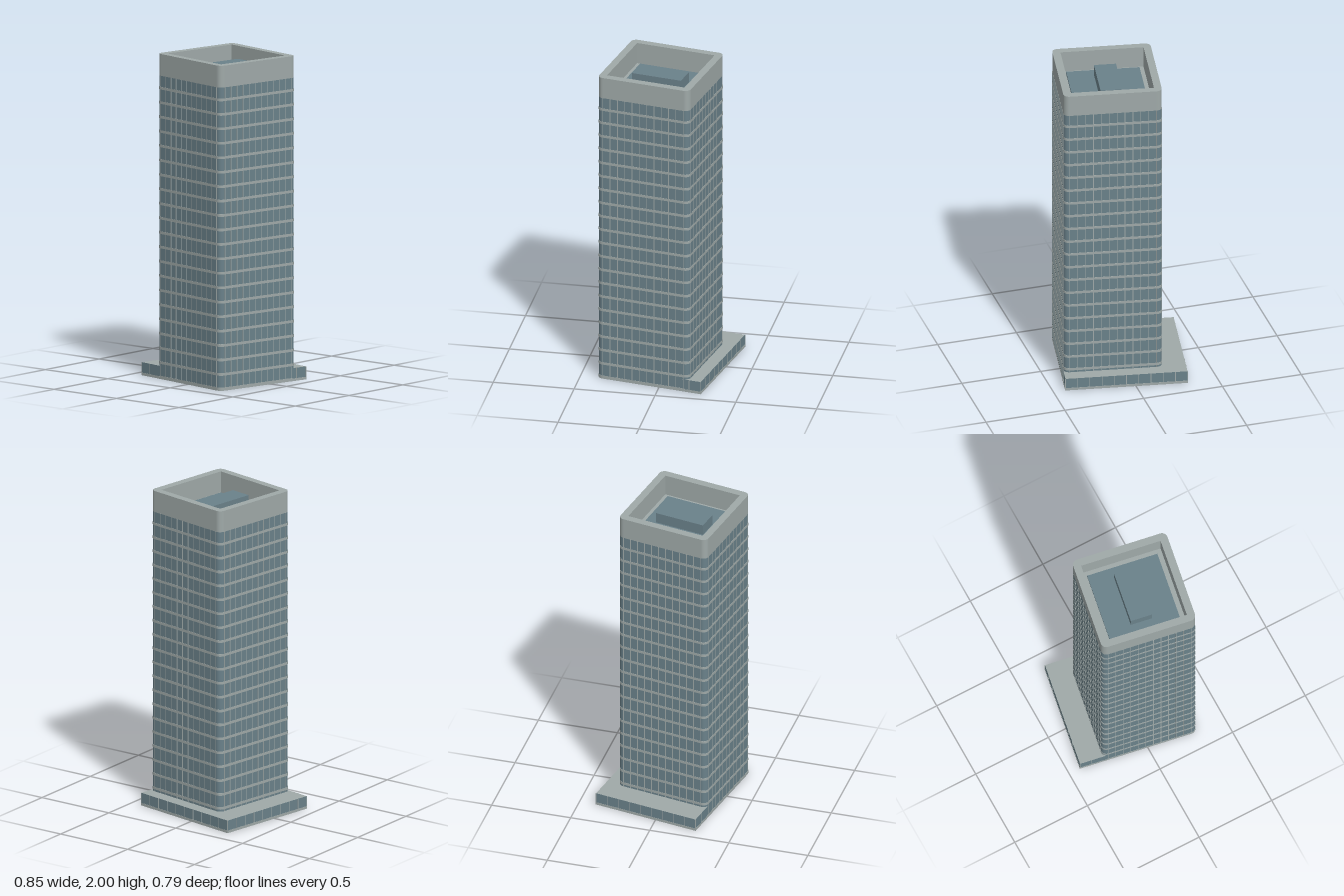
import * as THREE from 'three';

// Plan rectangle limits: x0..x1, z0..z1 in the building's own axes
const TOWER = [-0.23, 0.372, -0.258, 0.336];
const PODIUM = [-0.374, 0.373, -0.336, 0.336];
const PLAN_TURN = -0.171;
const BODY_TOP = 1.866;
const FLOORS = 21;
const FLOOR_STEP = 0.0889;
const PROUD = 0.0015;

const concrete = new THREE.MeshStandardMaterial({ color: 0x9fa9a8 });
concrete.name = 'concrete';
const glass = new THREE.MeshStandardMaterial({ color: 0x6a818a });
glass.name = 'blue glass';

// Rounded rectangle on the ground plane (shape y is -z)
function roundedPlan([x0, x1, z0, z1], r, grow = 0) {
  const a = x0 - grow, b = x1 + grow, c = -z1 - grow, d = -z0 + grow;
  const s = new THREE.Shape();
  s.moveTo(a + r, c);
  s.lineTo(b - r, c);
  s.absarc(b - r, c + r, r, -Math.PI / 2, 0);
  s.lineTo(b, d - r);
  s.absarc(b - r, d - r, r, 0, Math.PI / 2);
  s.lineTo(a + r, d);
  s.absarc(a + r, d - r, r, Math.PI / 2, Math.PI);
  s.lineTo(a, c + r);
  s.absarc(a + r, c + r, r, Math.PI, Math.PI * 1.5);
  return s;
}

function polygonPlan(points) {
  return new THREE.Shape(points.map(([x, z]) => new THREE.Vector2(x, -z)));
}

function rectPoints([x0, x1, z0, z1]) {
  return [[x0, z0], [x1, z0], [x1, z1], [x0, z1]];
}

export function createModel() {
  const model = new THREE.Group();
  model.name = 'officeTower';
  const building = new THREE.Group();
  building.name = 'building';
  building.rotation.y = PLAN_TURN;
  model.add(building);

  function add(name, geometry, material, parent = building) {
    const mesh = new THREE.Mesh(geometry, material);
    mesh.name = name;
    parent.add(mesh);
    return mesh;
  }

  // Upright prism over a plan, from y0 to y1
  function prism(name, plan, y0, y1, material, parent) {
    const g = new THREE.ExtrudeGeometry(plan, { depth: y1 - y0, bevelEnabled: false, curveSegments: 4 });
    g.rotateX(-Math.PI / 2);
    g.translate(0, y0, 0);
    return add(name, g, material, parent);
  }

  function subgroup(name) {
    const g = new THREE.Group();
    g.name = name;
    building.add(g);
    return g;
  }

  // Glazed shaft with concrete caps
  prism('towerShaft', roundedPlan(TOWER, 0.035), 0, BODY_TOP, [concrete, glass]);

  // Floor bands around the shaft
  const bands = subgroup('floorBands');
  for (let i = 0; i < FLOORS; i++) {
    const y = 0.012 + i * FLOOR_STEP;
    prism('floorBand', roundedPlan(TOWER, 0.035, PROUD), i ? y - 0.008 : 0, y + 0.008, concrete, bands);
  }

  // Thin mullions on all four faces
  const mullions = subgroup('mullions');
  function mullion(x, z, alongX, height) {
    const t = PROUD * 2;
    const g = new THREE.BoxGeometry(alongX ? 0.004 : t, height, alongX ? t : 0.004);
    g.translate(x, height / 2, z);
    add('mullion', g, concrete, mullions);
  }
  const [x0, x1, z0, z1] = TOWER;
  const bays = 11;
  for (let i = 0; i <= bays; i++) {
    const f = i / bays;
    const x = x0 + 0.036 + f * (x1 - x0 - 0.072);
    const z = z0 + 0.036 + f * (z1 - z0 - 0.072);
    for (const side of [z0, z1]) mullion(x, side, true, BODY_TOP);
    for (const side of [x0, x1]) mullion(side, z, false, BODY_TOP);
  }

  // Crown: parapet ring
  const crown = roundedPlan(TOWER, 0.035);
  const well = [-0.184, 0.324, -0.212, 0.291];
  crown.holes.push(new THREE.Path(rectPoints(well).map(([x, z]) => new THREE.Vector2(x, -z))));
  prism('parapet', crown, BODY_TOP, 2, concrete);

  // Roof deck and plant room
  prism('roofDeck', polygonPlan(rectPoints([-0.156, 0.293, -0.181, 0.261])), BODY_TOP, 1.88, glass);
  prism('plantRoom', polygonPlan(rectPoints([-0.005, 0.13, -0.114, 0.204])), 1.88, 1.947, glass);

  // L-shaped podium wrapping the back and right sides
  const [px0, px1, pz0, pz1] = PODIUM;
  const wrap = (grow) => polygonPlan([
    [px0 - grow, pz0 - grow], [px1 + grow, pz0 - grow], [px1 + grow, -0.21],
    [-0.18, -0.21], [-0.18, pz1 + grow], [px0 - grow, pz1 + grow],
  ]);
  prism('podium', wrap(0), 0, 0.08, [concrete, glass]);
  prism('podiumBase', wrap(PROUD), 0, 0.016, concrete);

  // Podium mullions
  for (let i = 0; i <= 10; i++) mullion(px0 + (i / 10) * (px1 - px0), pz0, true, 0.08);
  for (let i = 0; i <= 9; i++) mullion(px0, pz0 + (i / 9) * (pz1 - pz0), false, 0.08);
  mullion(px0 + 0.075, pz1, true, 0.08);
  mullion(px1, pz0 + 0.075, false, 0.08);

  return model;
}
